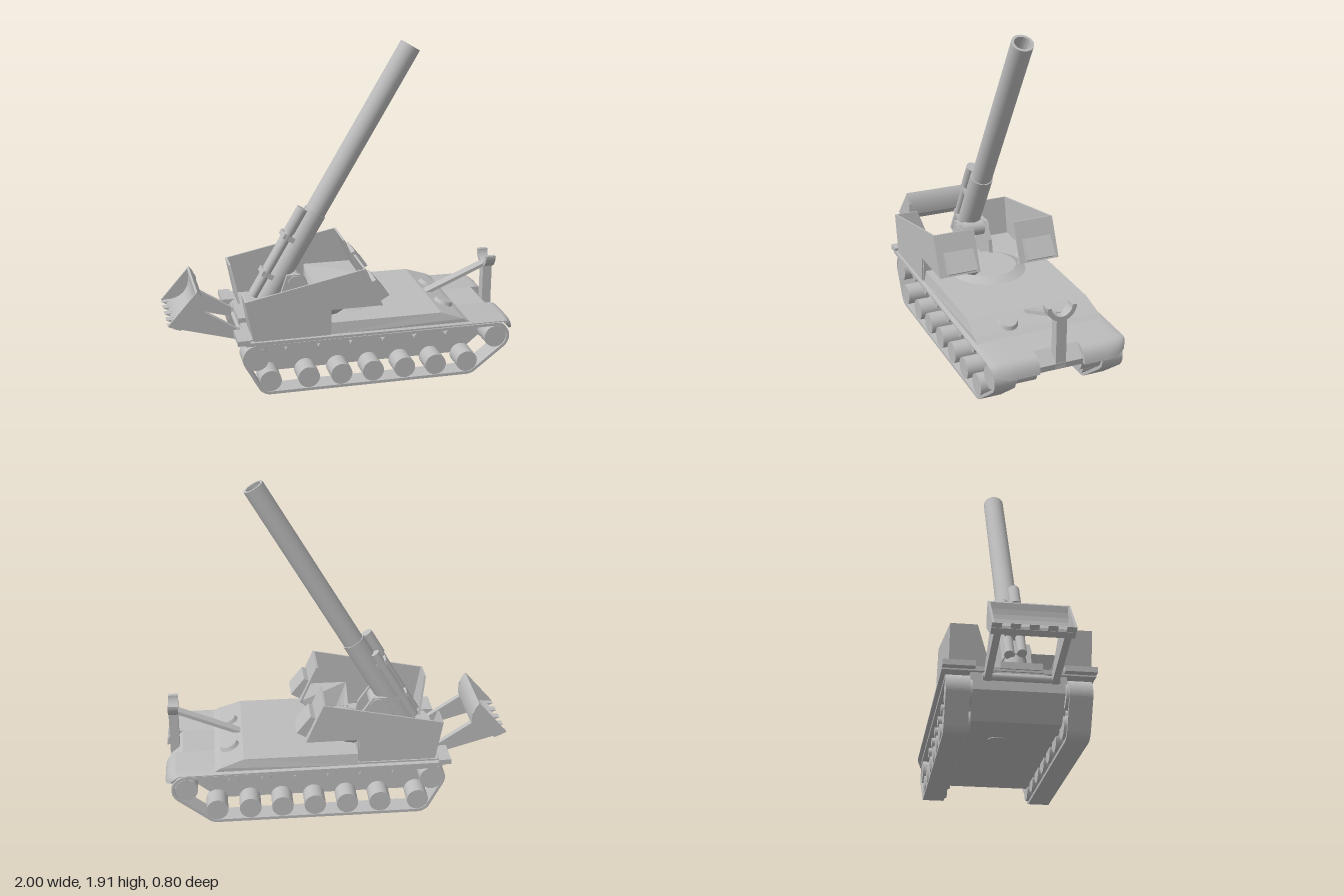
import * as THREE from 'three';
import { toCreasedNormals } from 'three/addons/utils/BufferGeometryUtils.js';

const grey = new THREE.MeshStandardMaterial({ color: 0xbcbcbc, side: THREE.DoubleSide });
grey.name = 'grey';

function add(parent, name, geometry, x = 0, y = 0, z = 0) {
  const mesh = new THREE.Mesh(geometry, grey);
  mesh.name = name;
  mesh.position.set(x, y, z);
  parent.add(mesh);
  return mesh;
}
function group(parent, name) {
  const g = new THREE.Group();
  g.name = name;
  parent.add(g);
  return g;
}
const poly = (pts) => new THREE.Shape(pts.map(([x, y]) => new THREE.Vector2(x, y)));
// Side profile (x, y) extruded from z0 to z1
function slab(shape, z0, z1, steps = 1) {
  const s = Array.isArray(shape) ? poly(shape) : shape;
  return new THREE.ExtrudeGeometry(s, { depth: z1 - z0, steps, bevelEnabled: false, curveSegments: 10 }).translate(0, 0, z0);
}
// Cylinder lying along z
const drum = (r, z0, z1) => new THREE.CylinderGeometry(r, r, z1 - z0, 28).rotateX(Math.PI / 2).translate(0, 0, (z0 + z1) / 2);
function moveVertices(geo, rule) {
  const p = geo.attributes.position;
  const v = new THREE.Vector3();
  for (let i = 0; i < p.count; i++) {
    rule(v.fromBufferAttribute(p, i));
    p.setXYZ(i, v.x, v.y, v.z);
  }
  geo.computeVertexNormals();
  return geo;
}

// Closed loop wrapped round circles listed anticlockwise
function loopAround(circles, grow, Type) {
  const n = circles.length;
  const normals = circles.map(([x, y, r], i) => {
    const [x2, y2, r2] = circles[(i + 1) % n];
    return Math.atan2(y2 - y, x2 - x) - Math.acos((r - r2) / Math.hypot(x2 - x, y2 - y));
  });
  const path = new Type();
  circles.forEach(([x, y, r], i) => path.absarc(x, y, r + grow, normals[(i + n - 1) % n], normals[i], false));
  return path;
}

function buildRunningGear(root) {
  const circles = [[-0.45, 0.08, 0.08], [0.71, 0.08, 0.08], [0.88, 0.22, 0.085], [-0.527, 0.222, 0.08]];
  const belt = loopAround(circles, 0, THREE.Shape);
  belt.holes.push(loopAround(circles, -0.017, THREE.Path));
  for (const side of [1, -1]) {
    const gear = group(root, side > 0 ? 'leftRunningGear' : 'rightRunningGear');
    gear.scale.z = side;
    add(gear, 'trackBelt', slab(belt, 0.255, 0.378));
    for (const x of [-0.45, -0.23, -0.04, 0.147, 0.334, 0.52, 0.71]) add(gear, 'roadWheel', drum(0.062, 0.24, 0.375), x, 0.08);
    for (let i = 0; i < 6; i++) add(gear, 'returnRoller', drum(0.03, 0.24, 0.36), -0.33 + i * 0.188, 0.255);
    add(gear, 'idler', drum(0.067, 0.24, 0.375), -0.527, 0.218);
    add(gear, 'sprocket', drum(0.065, 0.24, 0.375), 0.88, 0.22);
    add(gear, 'finalDrive', drum(0.085, 0.13, 0.25), 0.88, 0.245);
    // Fender with a rolled front edge and rounded outer corner
    const f = new THREE.Shape();
    f.moveTo(-0.59, 0.312);
    f.lineTo(0.92, 0.312);
    f.quadraticCurveTo(0.97, 0.3, 0.98, 0.245);
    f.lineTo(1.0, 0.245);
    f.quadraticCurveTo(0.99, 0.325, 0.93, 0.333);
    f.lineTo(-0.59, 0.333);
    add(gear, 'fender', toCreasedNormals(moveVertices(slab(f, 0.13, 0.4, 14), (v) => {
      const t = THREE.MathUtils.clamp((v.z - 0.27) / 0.13, 0, 1);
      const round = 1 - Math.sqrt(1 - t * t);
      if (v.x > 0.9) {
        v.x -= (v.x - 0.9) * 0.6 * round;
        v.y += (0.322 - v.y) * 0.8 * round;
      }
    }), 0.5));
    add(gear, 'rearFlap', new THREE.BoxGeometry(0.07, 0.03, 0.17), -0.6, 0.335, 0.315);
  }
}

function buildHull(root) {
  const hull = group(root, 'hull');
  add(hull, 'lowerHull', slab([[-0.46, 0.088], [0.7, 0.088], [0.88, 0.235], [0.88, 0.325], [-0.57, 0.325], [-0.57, 0.22]], -0.25, 0.25));
  add(hull, 'nose', slab([[0.86, 0.235], [0.97, 0.235], [0.975, 0.27], [0.9, 0.333], [0.7, 0.333]], -0.13, 0.13));
  add(hull, 'upperDeck', moveVertices(
    slab([[-0.1, 0.33], [0.72, 0.33], [0.68, 0.352], [0.55, 0.397], [-0.1, 0.397]], -0.375, 0.375),
    (v) => { if (v.y > 0.39) v.z *= 0.97; }));
  add(hull, 'rearDeck', new THREE.BoxGeometry(0.48, 0.02, 0.74), -0.34, 0.332);
  add(hull, 'bellyHatch', new THREE.CylinderGeometry(0.05, 0.05, 0.006, 24), -0.18, 0.087, -0.06);
  for (const z of [-0.155, 0.155]) {
    const hatch = add(hull, 'crewHatch', new THREE.CylinderGeometry(0.048, 0.064, 0.035, 24), 0.628, 0.374, z);
    hatch.rotation.z = -0.33;
  }
  // Barrel travel lock at the nose
  const lock = group(root, 'travelLock');
  add(lock, 'post', new THREE.BoxGeometry(0.055, 0.3, 0.06), 0.946, 0.39);
  const fork = new THREE.Shape();
  fork.absarc(0, 0, 0.085, Math.PI, 2 * Math.PI, false);
  fork.absarc(0, 0, 0.06, 2 * Math.PI, Math.PI, true);
  add(lock, 'fork', slab(fork, -0.029, 0.029).rotateY(Math.PI / 2), 0.946, 0.607);
  add(lock, 'brace', slab([[0.55, 0.39], [0.6, 0.39], [0.93, 0.53], [0.93, 0.552]], -0.03, 0.03));
}

function buildTurret(root) {
  const turret = group(root, 'turret');
  turret.position.z = 0.012;
  add(turret, 'turretRing', new THREE.CylinderGeometry(0.17, 0.235, 0.03, 40), 0, 0.408);
  const floor = [[-0.59, 0.11], [-0.35, 0.11], [-0.11, 0.22], [-0.11, -0.22], [-0.35, -0.11], [-0.59, -0.11]];
  add(turret, 'turretFloor', slab(floor, 0.333, 0.37).rotateX(-Math.PI / 2));
  // Sloping shelf under the front overhang, cut out round the turret ring
  const shelf = [[-0.11, 0.366], [-0.11, 0.23]];
  for (let i = 1; i <= 8; i++) {
    const a = THREE.MathUtils.lerp(1.49, 0.561, i / 8);
    shelf.push([-0.13 + 0.235 * Math.cos(a), 0.235 * Math.sin(a)]);
  }
  shelf.push([0.19, 0.125], [0.19, 0.366]);
  // Each crew bay is an open-topped tub of thin plates
  for (const side of [1, -1]) {
    const bay = group(turret, side > 0 ? 'leftCrewBay' : 'rightCrewBay');
    bay.scale.z = side;
    add(bay, 'outerWall', slab([[-0.59, 0.57], [0.095, 0.71], [0.195, 0.484], [-0.11, 0.484], [-0.11, 0.333], [-0.545, 0.333]], 0.362, 0.373));
    add(bay, 'frontWall', slab([[0.095, 0.71], [0.195, 0.484], [0.183, 0.484], [0.083, 0.7075]], 0.125, 0.365));
    add(bay, 'rearWall', moveVertices(
      slab([[-0.59, 0.57], [-0.545, 0.333], [-0.533, 0.333], [-0.578, 0.5725]], 0.15, 0.365),
      (v) => { if (v.y > 0.5 && v.z < 0.2) v.z = 0.23; }));
    add(bay, 'shelf', moveVertices(
      slab(shelf, 0, 0.008).rotateX(-Math.PI / 2).scale(1, 1, -1),
      (v) => { v.y += v.x > 0.15 || v.z > 0.3 ? 0.484 : 0.39; }));
    add(bay, 'shelfStep', slab([[0.23, 0.333], [0.365, 0.333], [0.365, 0.484], [0.23, 0.39]], 0.1, 0.11).rotateY(-Math.PI / 2));
    add(bay, 'visor', slab([[0.135, 0.61], [0.165, 0.624], [0.245, 0.525], [0.195, 0.495]], 0.16, 0.33));
    add(bay, 'gunSupport', slab([[-0.38, 0.36], [-0.12, 0.36], [-0.15, 0.5], [-0.22, 0.6], [-0.3, 0.6]], 0.07, 0.092));
  }
  add(turret, 'trunnion', drum(0.045, -0.1, 0.1), -0.25, 0.55);
}

function buildGun(root) {
  const gun = group(root, 'gun');
  gun.position.set(-0.11, 0.94, 0);
  gun.rotation.z = -0.531;
  const lathe = (pts) => toCreasedNormals(new THREE.LatheGeometry(pts.map((p) => new THREE.Vector2(...p)), 36), 0.6);
  add(gun, 'barrel', lathe([[0.061, -0.02], [0.061, 1.094], [0.046, 1.094], [0.046, 0.6], [0, 0.6]]));
  add(gun, 'sleeve', lathe([[0, -0.58], [0.067, -0.58], [0.067, 0], [0.06, 0]]));
  add(gun, 'breech', lathe([[0, -0.67], [0.05, -0.67], [0.06, -0.65], [0.06, -0.57]]));
  const rod = (name, r, s0, s1, x, z) =>
    add(gun, name, new THREE.CylinderGeometry(r, r, s1 - s0, 24), x, (s0 + s1) / 2, z);
  rod('recoilCylinder', 0.033, -0.165, -0.01, -0.088, 0.03);
  rod('recoilRod', 0.026, -0.6, -0.165, -0.085, 0.03);
  rod('recuperator', 0.028, -0.6, -0.12, -0.07, -0.035);
  add(gun, 'cylinderClamp', new THREE.BoxGeometry(0.08, 0.03, 0.11), -0.07, -0.2);
  add(gun, 'cylinderClamp', new THREE.BoxGeometry(0.08, 0.03, 0.11), -0.07, -0.45);
}

function buildSpade(root) {
  const spade = group(root, 'recoilSpade');
  spade.position.z = 0.012;
  // Curved scoop open to the rear
  const scoop = new THREE.Shape();
  scoop.moveTo(-0.83, 0.595);
  scoop.quadraticCurveTo(-0.785, 0.55, -0.79, 0.46);
  scoop.lineTo(-0.93, 0.37);
  scoop.lineTo(-0.97, 0.385);
  scoop.lineTo(-0.97, 0.4);
  scoop.quadraticCurveTo(-0.81, 0.41, -0.84, 0.585);
  add(spade, 'scoop', slab(scoop, -0.21, 0.21));
  for (const z of [-0.21, 0.198]) {
    add(spade, 'sidePlate', slab([[-1, 0.4], [-0.83, 0.595], [-0.79, 0.53], [-0.79, 0.46], [-0.93, 0.37]], z, z + 0.012));
  }
  for (let i = 0; i < 5; i++) {
    const z = -0.185 + i * 0.0925;
    add(spade, 'tooth', slab([[-1, 0.4], [-0.96, 0.403], [-0.95, 0.378]], z - 0.025, z + 0.025));
  }
  for (const z of [-0.175, 0.175]) {
    add(spade, 'arm', slab([[-0.79, 0.46], [-0.56, 0.31], [-0.56, 0.265], [-0.93, 0.37]], z - 0.018, z + 0.018));
  }
  add(spade, 'pivot', drum(0.02, -0.2, 0.2), -0.575, 0.29);
}

export function createModel() {
  const model = new THREE.Group();
  model.name = 'selfPropelledGun';
  buildRunningGear(model);
  buildHull(model);
  buildTurret(model);
  buildGun(model);
  buildSpade(model);
  return model;
}
